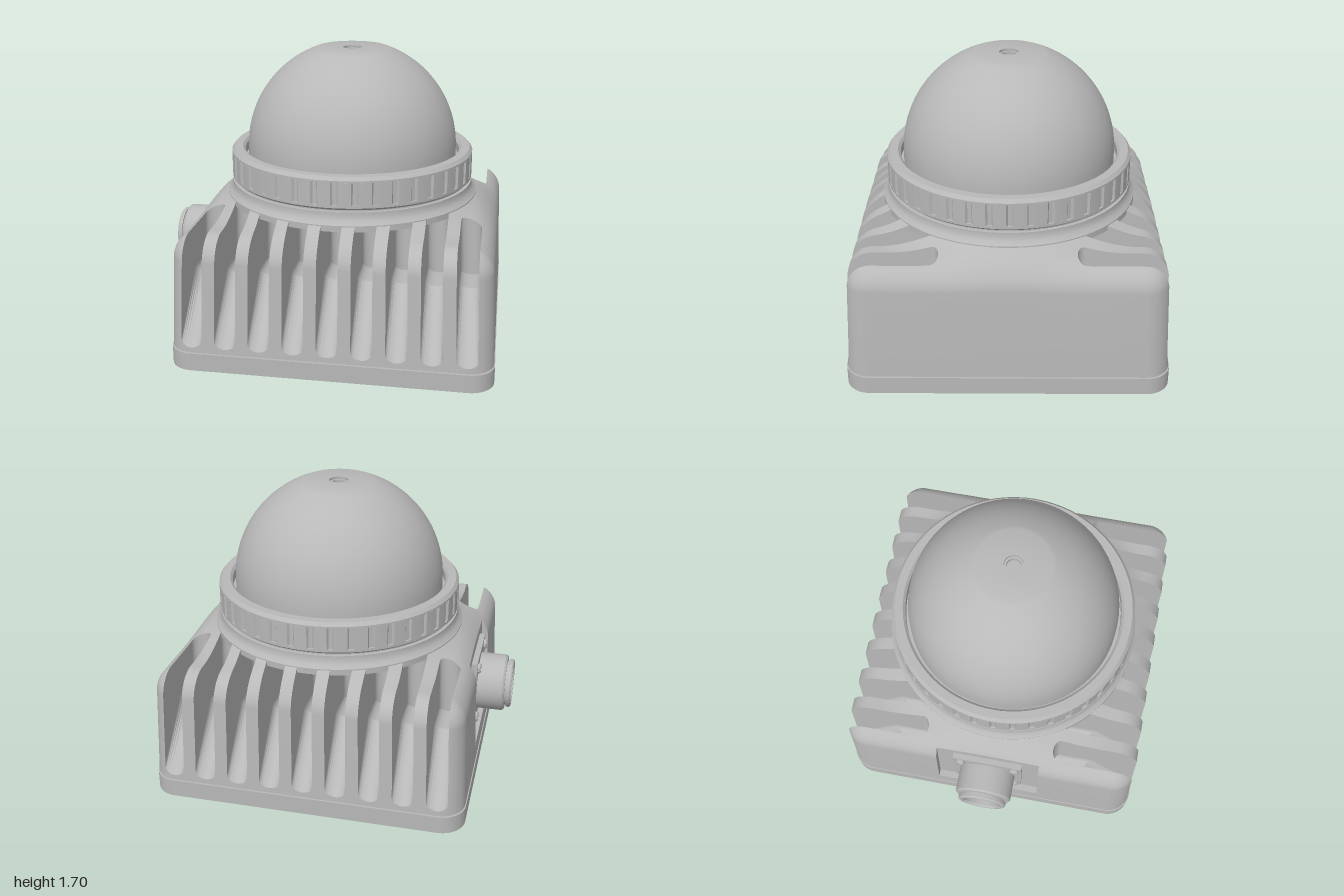
import * as THREE from 'three';
import { toCreasedNormals } from 'three/addons/utils/BufferGeometryUtils.js';

const CX = 0.08;      // body axis in x
const HALF = 0.91, R = 0.14, FLAT = HALF - R; // half width, edge radius, flat half width
const Y0 = 0.11;      // seam between base plate and housing
const PITCH = 0.1925, SLOT = 0.06;            // cooling slot spacing and half width

// Height of the housing top: rounded shoulder plus a concave flare up to the neck
function height(u, z) {
  const q = Math.hypot(Math.max(0, Math.abs(u) - FLAT), Math.max(0, Math.abs(z) - FLAT));
  const f = Math.min(1, Math.max(0, (0.98 - Math.hypot(u, z)) / 0.26));
  return 0.64 + Math.sqrt(Math.max(0, R * R - q * q)) + 0.11 * f * f;
}

// Half depth of the housing at u, with rounded plan corners
function depth(u) {
  const c = Math.max(0, Math.abs(u) - FLAT);
  return FLAT + Math.sqrt(Math.max(0, R * R - c * c));
}

// Points [z, y] along the top surface, denser near the rounded edges
function topLine(u, mid, half, from, to, steps) {
  const pts = [];
  for (let i = 0; i <= steps; i++) {
    const z = mid + half * Math.sin(from + (to - from) * i / steps);
    pts.push([z, height(u, z)]);
  }
  return pts;
}

const Q = Math.PI / 2;
const finSection = u => {
  const d = depth(u);
  return [[d, Y0], ...topLine(u, 0, d, Q, -Q, 90), [-d, Y0]];
};

// Slot section: sloping floor, level pocket and inner wall, with filleted sides
const slotSection = mid => u => {
  const w = Math.min(1, Math.abs(u - mid) / SLOT);
  const f = 0.045 * (1 - Math.sqrt(1 - w * w));
  const d = depth(u), inner = 0.39 + f;
  const side = [[d, Y0], [d, 0.14 + f], [0.59 + f, 0.47 + f], [inner, 0.47 + f]];
  return [...side, ...topLine(u, 0, inner, Q, -Q, 40),
    ...side.map(([z, y]) => [-z, y]).reverse()];
};

// Closed solid from y-z sections placed along x, with the slight draft of the housing
function loft(us, section) {
  const pos = [];
  const rings = us.map(u => section(u).map(([z, y]) => {
    const k = 1 - 0.045 * (y - Y0);
    return [CX + u * k, y, z * k];
  }));
  const tri = (a, b, c) => pos.push(...a, ...b, ...c);
  for (let s = 0; s < rings.length - 1; s++) {
    const A = rings[s], B = rings[s + 1];
    for (let i = 0; i < A.length; i++) {
      const j = (i + 1) % A.length;
      tri(A[i], B[i], A[j]);
      tri(B[i], B[j], A[j]);
    }
  }
  const cap = (ring, flip) => {
    const contour = ring.map(p => new THREE.Vector2(p[2], p[1]));
    for (const [a, b, c] of THREE.ShapeUtils.triangulateShape(contour, [])) {
      if (flip) tri(ring[a], ring[c], ring[b]); else tri(ring[a], ring[b], ring[c]);
    }
  };
  cap(rings[0], false);
  cap(rings[rings.length - 1], true);
  const g = new THREE.BufferGeometry();
  g.setAttribute('position', new THREE.Float32BufferAttribute(pos, 3));
  g.computeVertexNormals();
  return toCreasedNormals(g, 0.5);
}

const span = (a, b, n) => Array.from({ length: n + 1 }, (_, i) => a + (b - a) * i / n);
// Samples for the rounded ends, denser towards the outer face
const endSpan = (a, b, n) => {
  const t0 = Math.asin((a - FLAT) / R), t1 = Math.asin(Math.min(1, (b - FLAT) / R));
  return span(t0, t1, n).map(t => FLAT + R * Math.sin(t));
};

function lathe(points, segments = 96) {
  return toCreasedNormals(
    new THREE.LatheGeometry(points.map(p => new THREE.Vector2(...p)), segments), 0.5);
}

function extrude(shape, depthY, curveSegments = 12) {
  const g = new THREE.ExtrudeGeometry(shape, { depth: depthY, bevelEnabled: false, curveSegments });
  return toCreasedNormals(g.rotateX(-Math.PI / 2), 0.5);
}

export function createModel() {
  const model = new THREE.Group();
  const grey = new THREE.MeshStandardMaterial({ color: 0xb8b8b8 });
  grey.name = 'housing grey';
  const add = (name, geometry, x = 0, y = 0, z = 0, parent = model) => {
    const mesh = new THREE.Mesh(geometry, grey);
    mesh.name = name;
    mesh.position.set(x, y, z);
    parent.add(mesh);
    return mesh;
  };

  // Housing: alternating slot cores and full-depth fins
  const housing = new THREE.Group();
  housing.name = 'housing';
  model.add(housing);
  for (let i = -4; i <= 4; i++) {
    const c = i * PITCH;
    const us = span(-Q, Q, 12).map(t => c + SLOT * Math.sin(t));
    add('slotCore', loft(us, slotSection(c)), 0, 0, 0, housing);
    if (i < 4) add('fin', loft(span(c + SLOT, c + PITCH - SLOT, 4), finSection), 0, 0, 0, housing);
  }
  const edge = 4 * PITCH + SLOT, recess = 0.87;
  add('leftEnd', loft(endSpan(edge, HALF, 10), finSection), 0, 0, 0, housing);
  add('rightEnd', loft(endSpan(edge, recess, 5).map(u => -u).reverse(), finSection), 0, 0, 0, housing);

  // Connector recess: two cheeks and a sill on the right end
  const outer = endSpan(recess, HALF, 8).map(u => -u).reverse();
  const win = 0.32;
  const cheek = u => {
    const d = depth(u);
    return [[d, Y0], ...topLine(u, win, d - win, Q, 0, 40), [win, Y0]];
  };
  add('recessCheek', loft(outer, cheek), 0, 0, 0, housing);
  add('recessCheek', loft(outer, u => cheek(u).map(([z, y]) => [-z, y]).reverse()), 0, 0, 0, housing);
  add('recessSill', loft(outer, () => [[win, Y0], [win, 0.22], [-win, 0.22], [-win, Y0]]), 0, 0, 0, housing);

  // Base plate with mounting holes and countersunk corners
  const b = 0.915, r = 0.14, k = b - r;
  const plate = new THREE.Shape();
  plate.absarc(k, k, r, 0, Q);
  plate.absarc(-k, k, r, Q, 2 * Q);
  plate.absarc(-k, -k, r, 2 * Q, 3 * Q);
  plate.absarc(k, -k, r, 3 * Q, 4 * Q);
  const hole = (x, z, rad) => {
    const p = new THREE.Path();
    p.absarc(x, -z, rad, 0, Math.PI * 2, true);
    plate.holes.push(p);
  };
  const screw = lathe([[0, 0.035], [0.02, 0.035], [0.02, 0.01], [0.045, 0.01], [0.05, 0.02], [0.05, 0.1]], 24);
  for (const sx of [-1, 1]) for (const sz of [-1, 1]) {
    hole(sx * 0.65, sz * 0.52, 0.027);
    hole(sx * 0.8, sz * 0.8, 0.065);
    add('baseScrew', screw, CX + sx * 0.8, 0, sz * 0.8);
  }
  hole(0, 0.47, 0.033);
  const oval = new THREE.Path(); // elongated locating hole
  oval.absarc(0, 0.68, 0.03, Math.PI, 0, true);
  oval.absarc(0, 0.64, 0.03, 0, -Math.PI, true);
  plate.holes.push(oval);
  add('basePlate', extrude(plate, 0.105), CX, 0, 0);

  // Neck above the slots
  add('neck', lathe([[0, 0.82], [0.75, 0.82], [0.75, 0.855], [0.73, 0.875], [0.72, 0.9],
    [0.72, 0.923], [0.7, 0.923], [0.7, 0.94], [0, 0.94]]), CX);

  // Clamp ring: chamfered rims and a fluted grip band
  add('clampRing', lathe([[0.6, 0.932], [0.705, 0.932], [0.72, 0.945], [0.72, 0.96], [0.706, 0.96],
    [0.706, 1.09], [0.72, 1.09], [0.72, 1.1], [0.703, 1.12], [0.655, 1.12], [0.64, 1.105],
    [0.64, 1.05], [0.59, 1.05]]), CX);
  const grip = new THREE.Shape();
  const N = 40, step = Math.PI * 2 / N;
  for (let i = 0; i < N; i++) {
    for (const [t, rad] of [[0, 0.708], [0.2, 0.708], [0.28, 0.72], [0.6, 0.721], [0.92, 0.72]]) {
      const a = (i + t) * step;
      grip[i || t ? 'lineTo' : 'moveTo'](rad * Math.cos(a), rad * Math.sin(a));
    }
  }
  const bore = new THREE.Path();
  bore.absarc(0, 0, 0.66, 0, Math.PI * 2, true);
  grip.holes.push(bore);
  add('grip', extrude(grip, 0.13, 48), CX, 0.96, 0);

  // Dome with flat crown and small central dimple
  const DR = 0.6215, DY = 1.115;
  const tEnd = Math.acos(0.21 / DR);
  add('dome', lathe([[DR, 1.04], ...span(0, tEnd, 28).map(t => [DR * Math.cos(t), DY + DR * Math.sin(t)]),
    [0.055, 1.7], [0.055, 1.685], [0.042, 1.685], [0.042, 1.66], [0, 1.66]]), CX);

  // Cable connector on the right side
  const connector = new THREE.Group();
  connector.name = 'connector';
  connector.position.set(0, 0.49, 0);
  connector.rotation.z = Q;
  model.add(connector);
  add('flange', new THREE.BoxGeometry(0.42, 0.05, 0.42), 0, 0.775, 0, connector);
  add('socket', lathe([[0.17, 0.76], [0.17, 0.95], [0.16, 0.962], [0.135, 0.962], [0.135, 0.973],
    [0.146, 0.973], [0.146, 0.992], [0.138, 1], [0.122, 1], [0.115, 0.99], [0.115, 0.86], [0, 0.86]], 48),
  0, 0, 0, connector);
  const pin = new THREE.CylinderGeometry(0.012, 0.012, 0.1, 10);
  for (let i = 0; i < 5; i++) {
    const a = i * Math.PI * 2 / 5;
    add('pin', pin, 0.065 * Math.cos(a), 0.91, 0.065 * Math.sin(a), connector);
  }
  const bolt = lathe([[0.03, 0.79], [0.03, 0.812], [0.024, 0.818], [0.014, 0.818], [0.014, 0.805], [0, 0.805]], 20);
  for (const sx of [-1, 1]) for (const sz of [-1, 1]) {
    add('flangeScrew', bolt, sx * 0.165, 0, sz * 0.165, connector);
  }
  return model;
}
